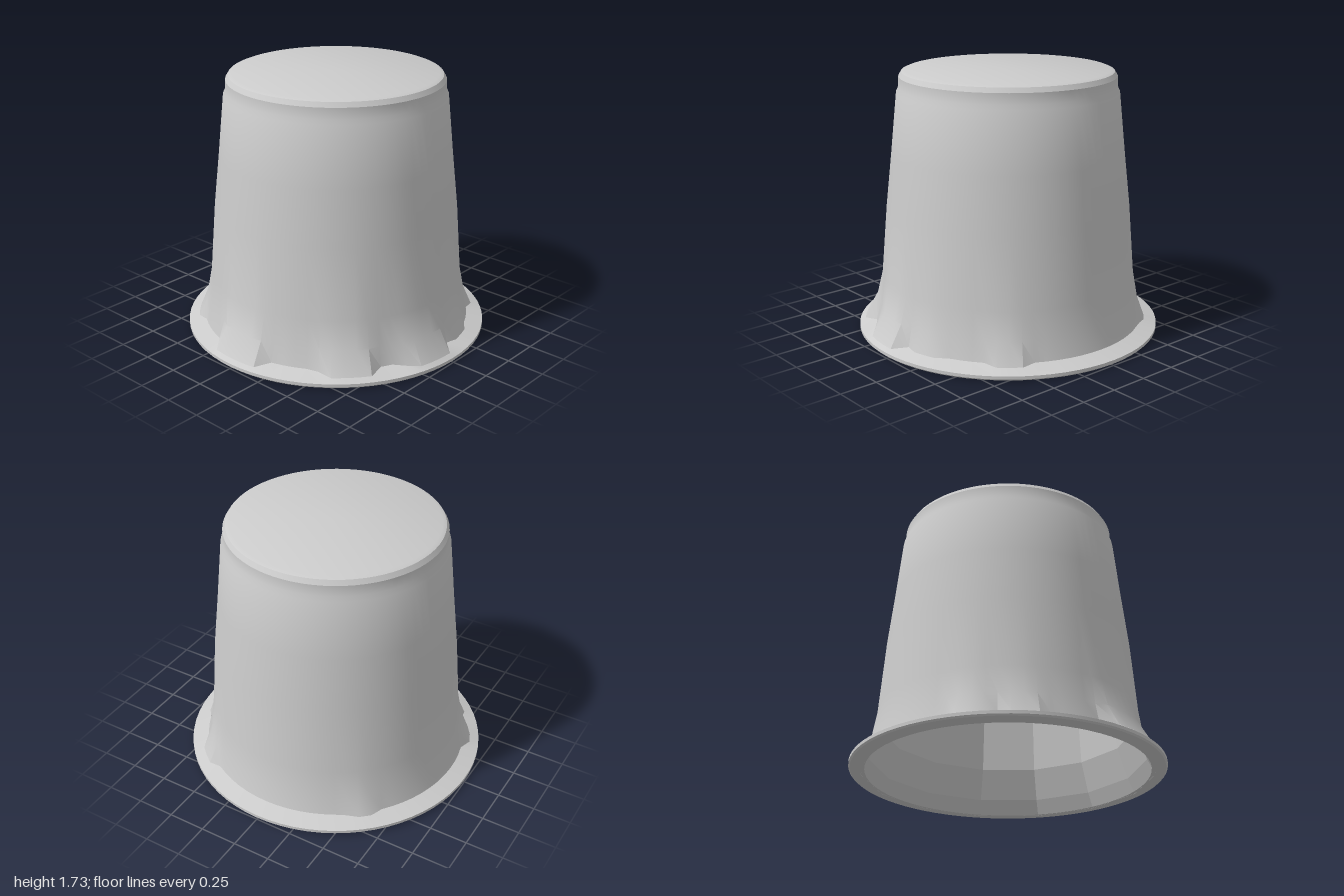
import * as THREE from 'three';
import { toCreasedNormals } from 'three/addons/utils/BufferGeometryUtils.js';

const vec = (pairs) => pairs.map(([r, y]) => new THREE.Vector2(r, y));

// Irregular fillets where the wall runs out onto the flange:
// [centre angle, half width (degrees), strength], 0 = +x, 90 = front
const fillets = [
  [180, 10, 1], [133, 9, 0.9], [99, 9, 1], [40, 6, 0.55],
  [225, 6, 0.5], [246, 5, 0.6], [318, 4, 0.35], [75, 6, 0.3],
];

function filletAt(angle) {
  let best = 0;
  for (const [centre, half, strength] of fillets) {
    const d = Math.abs(((angle - centre + 540) % 360) - 180);
    best = Math.max(best, strength * THREE.MathUtils.clamp((half + 4 - d) / 4, 0, 1));
  }
  return best;
}

// Pushes the foot of the wall outwards inside each fillet
function addFillets(geometry) {
  const p = geometry.attributes.position;
  for (let i = 0; i < p.count; i++) {
    const x = p.getX(i), y = p.getY(i), z = p.getZ(i);
    const r = Math.hypot(x, z);
    if (y < 0.05 || y > 0.45) continue;
    const f = filletAt((Math.atan2(z, x) * 180 / Math.PI + 360) % 360);
    const push = y < 0.1 ? 0.08 : y < 0.25 ? 0.025 : 0.005;
    const s = (r + push * f) / r;
    p.setXYZ(i, x * s, y - (y < 0.1 ? 0.015 * f : 0), z * s);
  }
  return geometry;
}

export function createModel() {
  const group = new THREE.Group();
  group.name = 'upturnedCup';

  // Outer skin: underside of flange, flange, tapering wall, lip and top
  const outer = addFillets(new THREE.LatheGeometry(vec([
    [0.9, 0], [0.99, 0.005], [1, 0.015], [1, 0.035], [0.89, 0.07],
    [0.86, 0.2], [0.835, 0.38], [0.8, 0.84], [0.76, 1.2], [0.72, 1.59],
    [0.705, 1.62], [0.703, 1.69], [0.685, 1.72], [0.66, 1.73], [0, 1.73],
  ]), 72));
  const shell = new THREE.Mesh(
    toCreasedNormals(outer, 0.45),
    new THREE.MeshStandardMaterial({ color: 0xcccccc }),
  );
  shell.name = 'outerShell';

  // Coarsely faceted hollow inside
  const inner = new THREE.LatheGeometry(vec([
    [0, 1.66], [0.64, 1.66], [0.68, 1.55], [0.76, 0.9], [0.81, 0.3], [0.88, 0.1], [0.93, 0],
  ]), 14);
  const hollow = new THREE.Mesh(
    inner,
    new THREE.MeshStandardMaterial({ color: 0xcccccc, flatShading: true }),
  );
  hollow.name = 'innerHollow';

  group.add(shell, hollow);
  return group;
}
